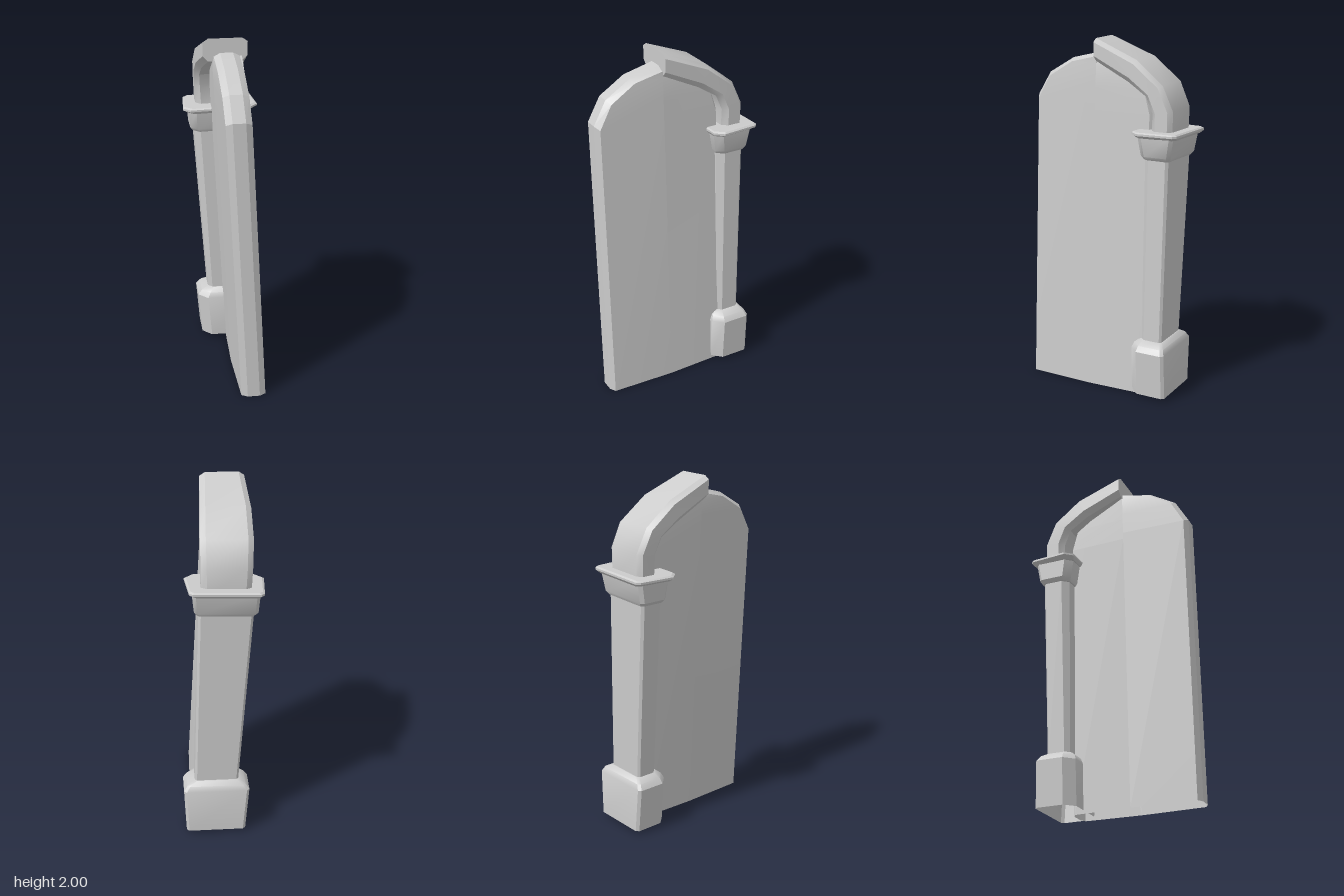
import * as THREE from 'three';
import { toCreasedNormals } from 'three/addons/utils/BufferGeometryUtils.js';

const material = new THREE.MeshStandardMaterial({ color: 0xcccccc, side: THREE.DoubleSide });

// Skin between successive rings of Vector3, counter-clockwise seen from the far end.
function loft(name, rings, { closed = true, startCap = false, endCap = false, crease = 0.4 } = {}) {
  const positions = [];
  const area = new THREE.Triangle();
  const tri = (a, b, c) => {
    if (area.set(a, b, c).getArea() > 1e-8) positions.push(...a.toArray(), ...b.toArray(), ...c.toArray());
  };
  const n = rings[0].length;
  for (let r = 0; r < rings.length - 1; r++) {
    const a = rings[r], b = rings[r + 1];
    for (let i = 0; i < (closed ? n : n - 1); i++) {
      const j = (i + 1) % n;
      tri(a[i], a[j], b[j]);
      tri(a[i], b[j], b[i]);
    }
  }
  const first = rings[0], last = rings[rings.length - 1];
  for (let i = 1; i < n - 1; i++) {
    if (startCap) tri(first[0], first[i + 1], first[i]);
    if (endCap) tri(last[0], last[i], last[i + 1]);
  }
  const geometry = new THREE.BufferGeometry();
  geometry.setAttribute('position', new THREE.Float32BufferAttribute(positions, 3));
  const mesh = new THREE.Mesh(toCreasedNormals(geometry, crease), material);
  mesh.name = name;
  return mesh;
}

// Rectangle with corners cut: c at the front, b at the back.
function section(x0, x1, z0, z1, c, b) {
  return [
    [x1 - c, z1], [x1, z1 - c], [x1, z0 + b], [x1 - b, z0],
    [x0 + b, z0], [x0, z0 + b], [x0, z1 - c], [x0 + c, z1],
  ];
}

// Level rings from rows of [y, x0, x1, back z, front z, front cut, back cut], tilted sideways.
const levels = (rows, tilt = 0) => rows.map(([y, ...box]) =>
  section(...box).map(([x, z]) => new THREE.Vector3(x, y + tilt * x, z)));

// Leaning slab with a rounded top, bevelled rim and slightly swollen faces; open below.
function createSlab() {
  const middle = 0.07;
  const outline = [
    [0.465, 0], [0.465, 1.66], [0.39, 1.79], [0.24, 1.88], [middle, 1.92],
    [-0.1, 1.87], [-0.24, 1.75], [-0.28, 1.62], [-0.28, 0],
  ];
  const rings = outline.map(([z, y]) => {
    const zIn = middle + (z - middle) * 0.95, yIn = y * 0.99;
    const point = (offset, py, pz) => new THREE.Vector3(0.09 - 0.055 * py + offset, py, pz);
    return [
      point(-0.08, yIn, middle), point(-0.07, yIn, zIn), point(-0.035, y, z),
      point(0.035, y, z), point(0.07, yIn, zIn), point(0.082, yIn, middle),
    ];
  });
  return loft('slab', rings, { closed: false });
}

// Half arch rising from the capital and curling forward over the slab.
function createArch() {
  // outer z, y; inner z, y; x0, x1
  const stations = [
    [-0.41, 1.48, -0.285, 1.48, -0.145, 0.12],
    [-0.412, 1.635, -0.29, 1.615, -0.152, 0.12],
    [-0.35, 1.77, -0.25, 1.705, -0.16, 0.12],
    [-0.19, 1.897, -0.14, 1.775, -0.16, 0.112],
    [middleOfArch, 2.0, middleOfArch, 1.875, -0.145, 0.098],
  ];
  const rings = stations.map(([zo, yo, zi, yi, x0, x1]) =>
    section(x0, x1, 0, 1, 0.03, 0.03).map(([x, t], i) => {
      // Corner cuts are enlarged along the thin direction.
      const cut = [1, 2, 5, 6].includes(i) ? (t > 0.5 ? 0.76 : 0.16) : t;
      return new THREE.Vector3(x, yo + (yi - yo) * cut, zo + (zi - zo) * cut);
    }));
  return loft('arch', rings, { endCap: true, crease: 0.5 });
}
const middleOfArch = 0.07;

export function createModel() {
  const group = new THREE.Group();
  group.name = 'archedPanel';

  // Flared foot, open below, with a sloping shoulder
  const base = loft('columnBase', levels([
    [0.02, -0.125, 0.213, -0.435, -0.21, 0.055, 0.015],
    [0.28, -0.147, 0.225, -0.432, -0.21, 0.055, 0.015],
    [0.31, -0.125, 0.205, -0.42, -0.222, 0.048, 0.014],
    [0.333, -0.085, 0.165, -0.395, -0.25, 0.03, 0.012],
  ]), { endCap: true, crease: 0.6 });

  // Shaft that widens upward
  const shaft = loft('columnShaft', levels([
    [0.32, -0.085, 0.162, -0.39, -0.258, 0.025, 0.012],
    [1.4, -0.162, 0.135, -0.405, -0.253, 0.036, 0.014],
  ]));

  // Capital block
  const capital = loft('capital', levels([
    [1.365, -0.165, 0.142, -0.412, -0.245, 0.035, 0.015],
    [1.385, -0.182, 0.158, -0.425, -0.235, 0.038, 0.018],
    [1.5, -0.19, 0.168, -0.445, -0.216, 0.04, 0.018],
  ], 0.03), { startCap: true, crease: 0.6 });

  // Overhanging plate, broader toward the front
  const plateRows = levels([
    [1.487, -0.2, 0.175, -0.455, -0.212, 0.04, 0.018],
    [1.503, -0.226, 0.202, -0.47, -0.2, 0.045, 0.018],
    [1.514, -0.226, 0.202, -0.47, -0.2, 0.045, 0.018],
    [1.521, -0.215, 0.192, -0.46, -0.207, 0.045, 0.018],
  ], 0.03);
  plateRows.flat().forEach((p) => {
    p.x = -0.012 + (p.x + 0.012) * (1 + (p.z + 0.245) * 0.4);
  });
  const plate = loft('capitalPlate', plateRows, { startCap: true, endCap: true });

  group.add(createSlab(), base, shaft, capital, plate, createArch());
  return group;
}
